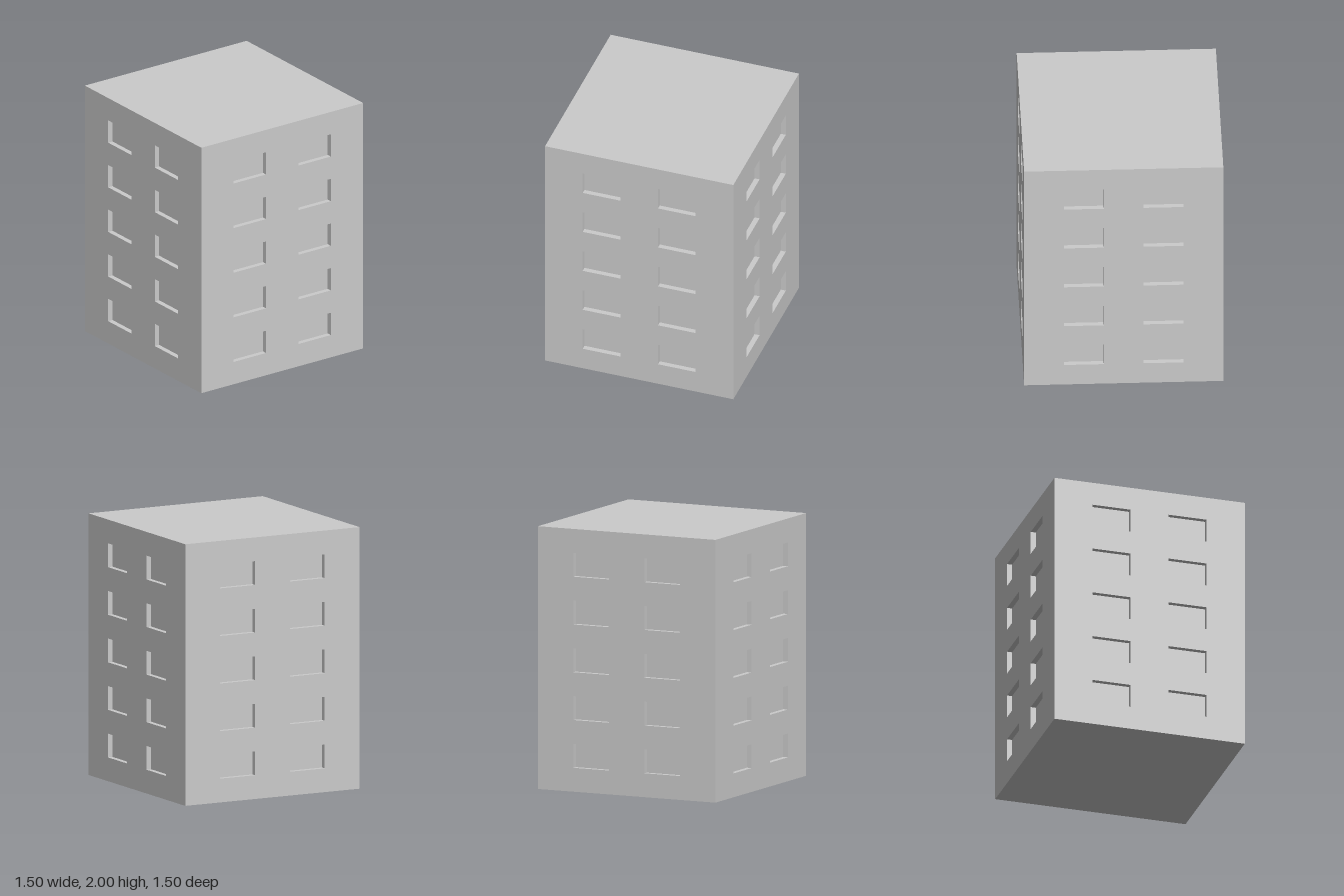
import * as THREE from 'three';

const W = 1.5, H = 2, DEPTH = 0.04;       // block width, height, window recess
const FLOORS = 5, PITCH = H / 5.5;        // storey spacing
const WIN_W = 0.3, WIN_H = PITCH / 2, WIN_X = 0.3;

function rect(target, x0, y0, x1, y1) {
  target.moveTo(x0, y0);
  target.lineTo(x1, y0);
  target.lineTo(x1, y1);
  target.lineTo(x0, y1);
  target.closePath();
  return target;
}

// Outer wall skin pierced by two columns of windows
function wallGeometry(width) {
  const shape = rect(new THREE.Shape(), -width / 2, 0, width / 2, H);
  for (let i = 0; i < FLOORS; i++) {
    const y = WIN_H + i * PITCH;
    for (const x of [-WIN_X, WIN_X]) {
      shape.holes.push(rect(new THREE.Path(), x - WIN_W / 2, y, x + WIN_W / 2, y + WIN_H));
    }
  }
  const geometry = new THREE.ExtrudeGeometry(shape, { depth: DEPTH, bevelEnabled: false });
  return geometry.translate(0, 0, W / 2 - DEPTH);
}

export function createModel() {
  const group = new THREE.Group();
  group.name = 'apartmentBlock';
  const material = new THREE.MeshStandardMaterial({ color: 0xcccccc });
  const inner = W - 2 * DEPTH;

  // Solid core: its sides are the recessed window panes
  const core = new THREE.Mesh(new THREE.BoxGeometry(inner, H, inner), material);
  core.name = 'core';
  core.position.y = H / 2;
  group.add(core);

  // Four walls; the side walls fit between the front and back ones
  const wide = wallGeometry(W), narrow = wallGeometry(inner);
  ['frontWall', 'leftWall', 'backWall', 'rightWall'].forEach((name, i) => {
    const wall = new THREE.Mesh(i % 2 ? narrow : wide, material);
    wall.name = name;
    wall.rotation.y = i * Math.PI / 2;
    group.add(wall);
  });
  return group;
}
